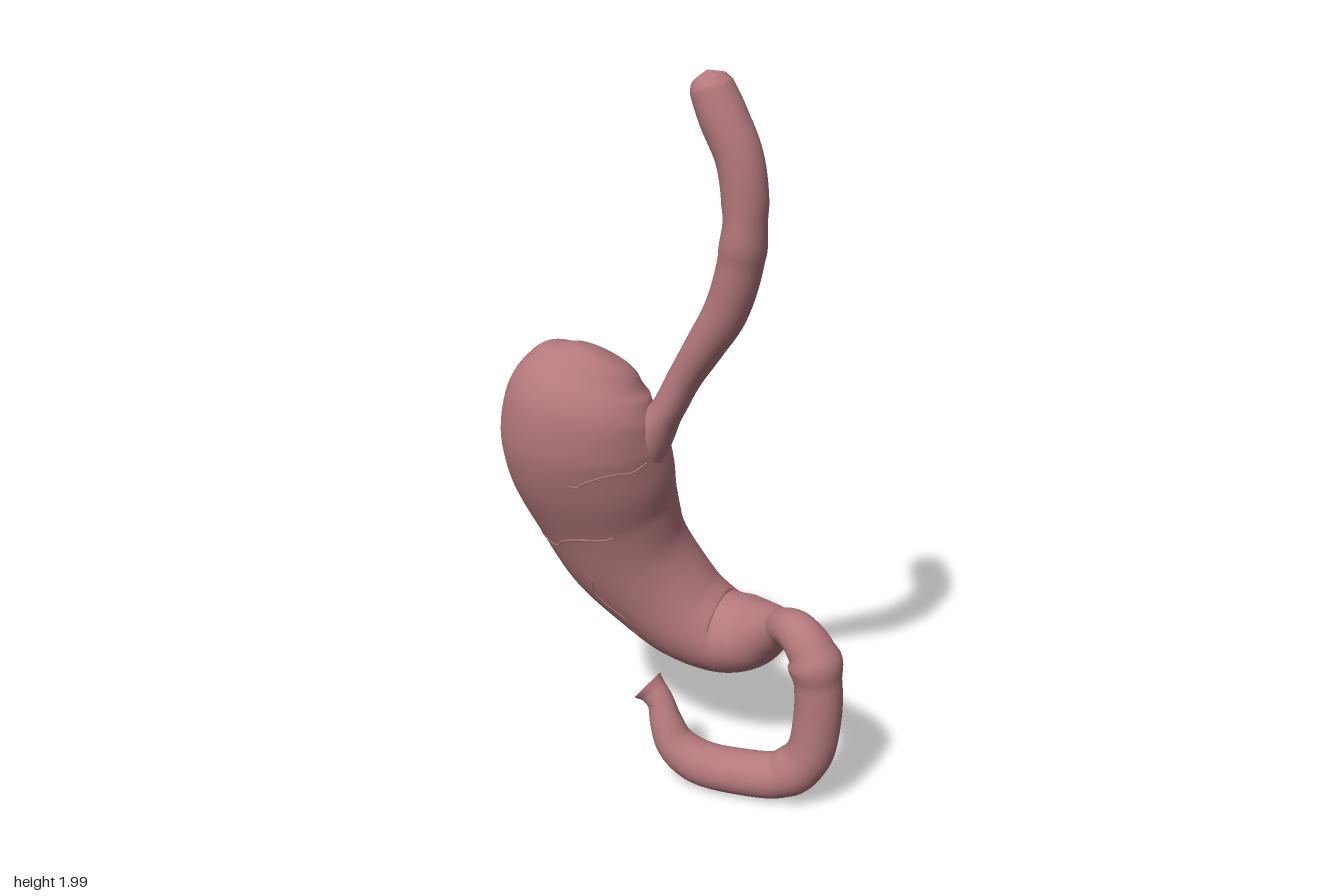
import * as THREE from 'three';

// Swept surface from stations [x, y, z, half width, half depth]
function makeSurface(stations) {
  const path = new THREE.CatmullRomCurve3(stations.map(s => new THREE.Vector3(s[0], s[1], s[2])));
  const size = new THREE.CatmullRomCurve3(stations.map(s => new THREE.Vector3(s[3], s[4] ?? s[3], 0)));
  const front = new THREE.Vector3(0, 0, 1);
  return (u, angle, lift = 0) => {
    const tangent = path.getTangent(u);
    const side = front.clone().cross(tangent).normalize();
    const depth = tangent.clone().cross(side);
    const r = size.getPoint(u);
    return path.getPoint(u)
      .addScaledVector(side, (Math.max(r.x, 0) + lift) * Math.cos(angle))
      .addScaledVector(depth, (Math.max(r.y, 0) + lift) * Math.sin(angle));
  };
}

function sweep(surface, rings, sides) {
  const positions = [], index = [];
  for (let i = 0; i <= rings; i++) {
    for (let j = 0; j < sides; j++) {
      positions.push(...surface(i / rings, j / sides * Math.PI * 2).toArray());
      if (i === rings) continue;
      const a = i * sides + j, b = i * sides + (j + 1) % sides;
      index.push(a, b, a + sides, b, b + sides, a + sides);
    }
  }
  const geometry = new THREE.BufferGeometry();
  geometry.setAttribute('position', new THREE.Float32BufferAttribute(positions, 3));
  geometry.setIndex(index);
  geometry.computeVertexNormals();
  return geometry;
}

export function createModel() {
  const model = new THREE.Group();
  model.name = 'digestiveTract';
  const tissue = new THREE.MeshStandardMaterial({ color: 0xb5797d, side: THREE.DoubleSide });
  tissue.name = 'dusty pink tissue';
  const add = (name, geometry) => {
    const mesh = new THREE.Mesh(geometry, tissue);
    mesh.name = name;
    model.add(mesh);
  };

  // Stomach: domed top, curved body, narrowing outlet
  const stomach = makeSurface([
    [-0.2, 1.242, 0.06, 0, 0],
    [-0.203, 1.234, 0.062, 0.065, 0.05],
    [-0.21, 1.212, 0.066, 0.12, 0.09],
    [-0.225, 1.17, 0.07, 0.168, 0.127],
    [-0.242, 1.1, 0.077, 0.205, 0.162],
    [-0.25, 1.0, 0.058, 0.224, 0.176],
    [-0.24, 0.9, 0.03, 0.225, 0.17],
    [-0.22, 0.77, -0.02, 0.203, 0.16],
    [-0.18, 0.635, -0.06, 0.18, 0.152],
    [-0.105, 0.52, -0.092, 0.157, 0.145],
    [-0.01, 0.425, -0.107, 0.137, 0.135],
    [0.09, 0.385, -0.105, 0.118, 0.122],
    [0.17, 0.405, -0.08, 0.103, 0.108],
    [0.235, 0.448, -0.035, 0.073, 0.075],
    [0.285, 0.487, 0.015, 0.05, 0.05],
    [0.315, 0.508, 0.05, 0.045, 0.045],
  ]);
  add('stomach', sweep(stomach, 110, 56));

  // Esophagus: flared base, long bend, closed upper end
  const esophagus = makeSurface([
    [-0.13, 0.96, 0.07, 0.1, 0.08],
    [-0.06, 1.03, 0.075, 0.065, 0.062],
    [-0.012, 1.1, 0.085, 0.044, 0.055],
    [0.04, 1.2, 0.1, 0.044, 0.05],
    [0.1, 1.3, 0.125, 0.05, 0.053],
    [0.163, 1.41, 0.15, 0.056, 0.055],
    [0.205, 1.55, 0.172, 0.057, 0.057],
    [0.216, 1.68, 0.183, 0.057, 0.057],
    [0.2, 1.8, 0.185, 0.058, 0.057],
    [0.16, 1.89, 0.18, 0.059, 0.06],
    [0.129, 1.96, 0.175, 0.053, 0.057],
    [0.122, 1.982, 0.174, 0.04, 0.043],
    [0.117, 1.998, 0.173, 0, 0],
  ]);
  add('esophagus', sweep(esophagus, 90, 28));

  // Duodenum: hooked tube ending in an open, flared mouth
  const duodenum = makeSurface([
    [0.27, 0.475, 0, 0.045],
    [0.305, 0.505, 0.04, 0.05],
    [0.35, 0.513, 0.085, 0.057],
    [0.392, 0.47, 0.105, 0.064],
    [0.41, 0.39, 0.107, 0.064],
    [0.411, 0.28, 0.105, 0.064],
    [0.388, 0.16, 0.105, 0.064],
    [0.32, 0.09, 0.103, 0.064],
    [0.2, 0.072, 0.1, 0.063],
    [0.08, 0.083, 0.1, 0.061],
    [0.015, 0.125, 0.097, 0.054],
    [-0.015, 0.185, 0.09, 0.045],
    [-0.035, 0.24, 0.08, 0.037],
    [-0.058, 0.265, 0.073, 0.04],
    [-0.075, 0.279, 0.07, 0.049],
  ]);
  add('duodenum', sweep(duodenum, 100, 28));

  // Fine surface vessels, each [start u, start angle, end u, end angle]
  const vessels = [
    [0.35, 0.5, 0.36, 1.6], [0.46, 1.2, 0.48, 2.6], [0.52, 2.0, 0.64, 2.3],
    [0.38, 3.7, 0.44, 5.2], [0.42, 4.4, 0.56, 4.6], [0.6, 3.5, 0.66, 4.8],
  ];
  vessels.forEach(([u0, a0, u1, a1], k) => {
    const points = [];
    for (let i = 0; i <= 12; i++) {
      const t = i / 12;
      points.push(stomach(u0 + (u1 - u0) * t + 0.006 * Math.sin(t * 9 + k),
        a0 + (a1 - a0) * t + 0.06 * Math.sin(t * 11 + k * 2), -0.001));
    }
    add('surfaceVessel', new THREE.TubeGeometry(new THREE.CatmullRomCurve3(points), 36, 0.0035, 6));
  });

  return model;
}
